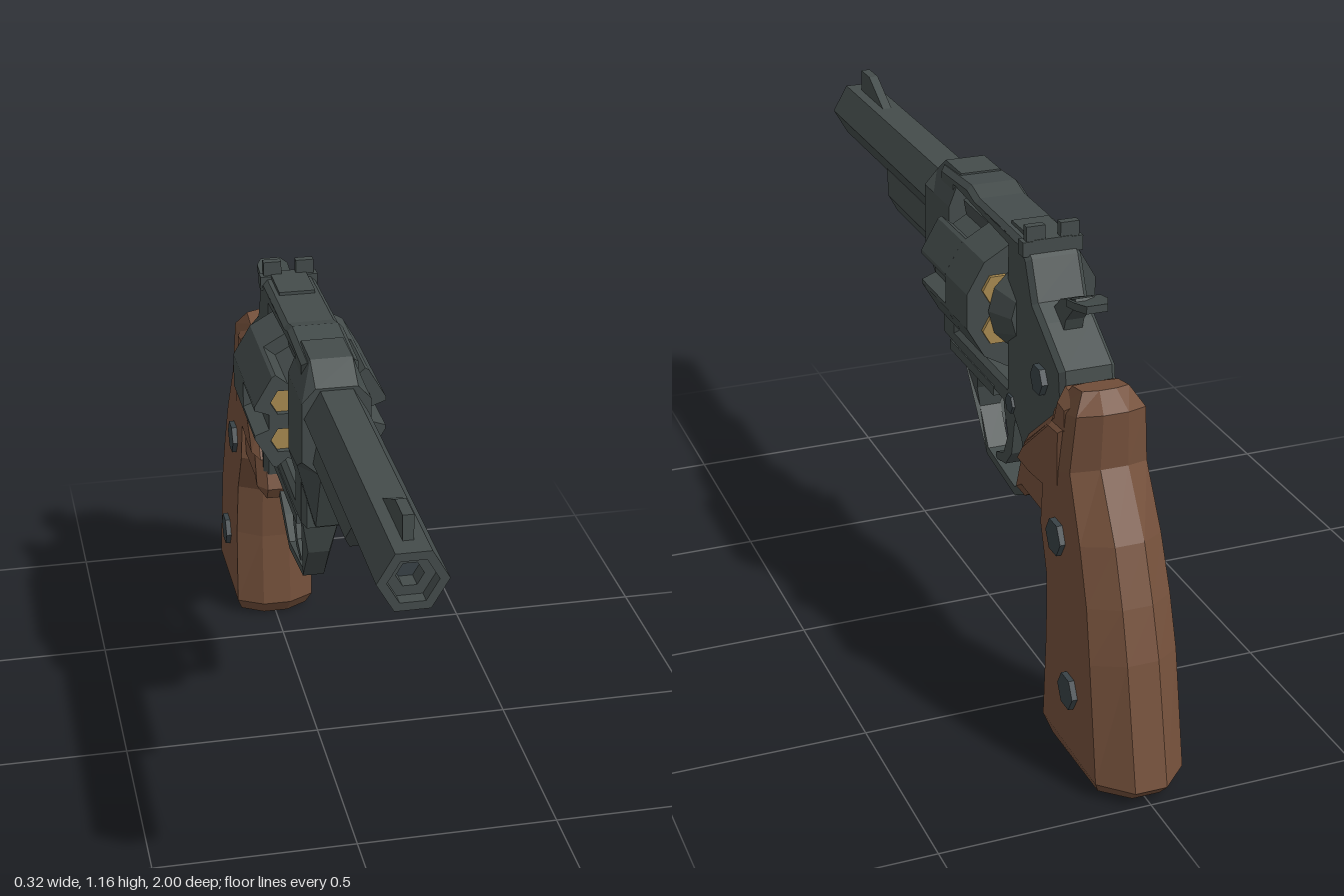
import * as THREE from 'three';

const mat = (name, color) => {
  const m = new THREE.MeshStandardMaterial({ color });
  m.name = name;
  return m;
};

export function createModel() {
  const metal = mat('gunmetal', 0x444c4b);
  const screwMetal = mat('screw steel', 0x394246);
  const wood = mat('walnut', 0x74503b);
  const brass = mat('brass', 0xa88a50);
  const model = new THREE.Group();
  model.name = 'revolver';

  // Add a faceted mesh
  const add = (name, geometry, material = metal) => {
    const g = geometry.index ? geometry.toNonIndexed() : geometry;
    g.computeVertexNormals();
    const mesh = new THREE.Mesh(g, material);
    mesh.name = name;
    model.add(mesh);
    return mesh;
  };
  const toShape = (pts) => new THREE.Shape(pts.map((p) => new THREE.Vector2(p[0], p[1])));
  const ngon = (n, r, start = 0, cx = 0, cy = 0) => Array.from({ length: n }, (_, i) => {
    const a = start + (i * 2 * Math.PI) / n;
    return [cx + r * Math.cos(a), cy + r * Math.sin(a)];
  });

  // Side profile [z, y], extruded across x with chamfered edges
  const profile = (pts, width, bevel = 0, holes = []) => {
    const s = toShape(pts);
    s.holes = holes.map(toShape);
    const g = new THREE.ExtrudeGeometry(s, {
      depth: width - 2 * bevel, bevelEnabled: bevel > 0, bevelThickness: bevel,
      bevelSize: bevel, bevelOffset: -bevel, bevelSegments: 1,
    });
    return g.translate(0, 0, bevel - width / 2).rotateY(-Math.PI / 2);
  };
  // Front profile [x, y], extruded from z0 to z1
  const along = (pts, z0, z1, y = 0, holes = []) => {
    const s = toShape(pts);
    s.holes = holes.map(toShape);
    return new THREE.ExtrudeGeometry(s, { depth: z1 - z0, bevelEnabled: false }).translate(0, y, z0);
  };
  // Skin over matching rings with closed ends
  const loft = (rings) => {
    const n = rings[0].length, index = [];
    rings.slice(1).forEach((_, r) => {
      for (let i = 0; i < n; i++) {
        const a = r * n + i, b = r * n + ((i + 1) % n);
        index.push(a, b, b + n, a, b + n, a + n);
      }
    });
    const top = (rings.length - 1) * n;
    for (let i = 1; i < n - 1; i++) index.push(0, i + 1, i, top, top + i, top + i + 1);
    const g = new THREE.BufferGeometry();
    g.setAttribute('position', new THREE.Float32BufferAttribute(rings.flat(2), 3));
    g.setIndex(index);
    return g;
  };
  const box = (name, w, h, d, x, y, z) => add(name, new THREE.BoxGeometry(w, h, d).translate(x, y, z));

  // Barrel with recessed muzzle
  add('barrel', along(ngon(6, 0.077), 0.2, 1, 1.022, [ngon(6, 0.055)]));
  add('muzzle', along(ngon(6, 0.056), 0.9, 0.97, 1.022, [ngon(6, 0.03)]));
  add('bore', along(ngon(6, 0.031), 0.9, 0.93, 1.022), screwMetal);
  add('frontSight', profile([[0.95, 1.08], [0.945, 1.145], [0.875, 1.145], [0.745, 1.08]], 0.024));

  // Underlug with a slanted nose
  const lug = [[-0.04, 0.87], [0.04, 0.87], [0.056, 0.905], [0.045, 0.965], [-0.045, 0.965], [-0.056, 0.905]];
  add('underlug', loft([
    lug.map(([x, y]) => [x, y, 0.2]),
    lug.map(([x, y]) => [x, y, 0.57 + (y - 0.87) * 0.72]),
  ]));

  // Shroud where the barrel enters the frame
  const shroudRing = (z, b, side, t) => [
    [-0.037, b, z], [0.037, b, z], [0.082, side, z], [0.082, 1.06, z],
    [0.05, t, z], [-0.05, t, z], [-0.082, 1.06, z], [-0.082, side, z],
  ];
  add('shroud', loft([
    shroudRing(0.055, 0.69, 0.86, 1.14),
    shroudRing(0.165, 0.7, 0.87, 1.14),
    shroudRing(0.23, 0.87, 0.91, 1.095),
  ]));

  // Frame with the cylinder window
  add('frame', profile([
    [0.15, 0.69], [0.16, 1.13], [-0.03, 1.14], [-0.085, 1.125], [-0.37, 1.12], [-0.41, 1.09],
    [-0.45, 1.0], [-0.5, 0.97], [-0.61, 0.9], [-0.64, 0.7], [-0.5, 0.56], [-0.39, 0.52],
    [-0.375, 0.63], [-0.32, 0.675],
  ], 0.135, 0.012, [[[0.055, 0.735], [0.055, 1.1], [-0.285, 1.1], [-0.285, 0.735]]]));
  box('lowerRail', 0.14, 0.025, 0.3, 0, 0.685, -0.06);

  // Fluted cylinder
  const cy = 0.925;
  const outline = [];
  const chambers = [];
  for (let k = 0; k < 6; k++) {
    const a = (k * Math.PI) / 3, c = Math.cos(a), s = Math.sin(a);
    for (const [r, t] of [[0.16, -0.043], [0.16, -0.033], [0.125, -0.02], [0.125, 0.02], [0.16, 0.033], [0.16, 0.043]])
      outline.push([r * c - t * s, r * s + t * c]);
    const h = a + Math.PI / 6;
    chambers.push([0.1 * Math.cos(h), 0.1 * Math.sin(h)]);
  }
  add('cylinderFront', along(outline, -0.13, 0.037, cy, chambers.map(([x, y]) => ngon(6, 0.035, 0, x, y))));
  add('cylinderRear', along(ngon(12, 0.1656, Math.PI / 12), -0.275, -0.13, cy));
  add('cylinderAxle', along(ngon(6, 0.03), -0.3, 0.06, cy));
  chambers.forEach(([x, y]) => {
    add('cartridge', along(ngon(6, 0.035, 0, x, y), -0.12, 0.022, cy), brass);
    add('cartridgeRim', along(ngon(6, 0.038, 0, x, y), -0.285, -0.27, cy), brass);
  });

  // Recoil shield behind the cylinder
  add('recoilShield', new THREE.CylinderGeometry(0.112, 0.08, 0.065, 12).rotateX(Math.PI / 2).translate(0, cy, -0.318));

  // Rear sight
  box('rearSightBase', 0.09, 0.03, 0.14, 0, 1.115, -0.33);
  box('rearSightBar', 0.145, 0.035, 0.03, 0, 1.11, -0.385);
  for (const s of [-1, 1]) box('rearSightPost', 0.045, 0.05, 0.02, s * 0.041, 1.138, -0.388);

  // Hammer and its wide thumb spur
  add('hammer', profile([
    [-0.4, 0.93], [-0.41, 1.05], [-0.455, 0.985], [-0.5, 1.025], [-0.58, 1.055],
    [-0.6, 1.04], [-0.58, 1.035], [-0.53, 0.985], [-0.51, 0.93],
  ], 0.045));
  const spur = [[0.02, -0.535, 1.03], [0.04, -0.575, 1.046], [0.04, -0.615, 1.053], [0.025, -0.65, 1.055]];
  const spurRing = [...spur, ...spur.map(([x, z, y]) => [-x, z, y]).reverse()];
  add('hammerSpur', loft([-0.009, 0.009].map((d) => spurRing.map(([x, z, y]) => [x, y + d, z]))));

  // Trigger guard, flaring toward the frame
  const guard = profile([
    [0.05, 0.68], [0.015, 0.545], [-0.055, 0.44], [-0.245, 0.415], [-0.315, 0.45], [-0.4, 0.5],
    [-0.4, 0.53], [-0.31, 0.48], [-0.24, 0.437], [-0.065, 0.46], [-0.008, 0.55], [-0.015, 0.605], [-0.06, 0.68],
  ], 0.054);
  const gp = guard.attributes.position;
  for (let i = 0; i < gp.count; i++) gp.setX(i, gp.getX(i) * (1 + Math.max(0, gp.getY(i) - 0.55) * 7));
  add('triggerGuard', guard);
  add('trigger', profile([
    [-0.145, 0.69], [-0.16, 0.61], [-0.185, 0.55], [-0.157, 0.49], [-0.105, 0.468], [-0.11, 0.452],
    [-0.17, 0.465], [-0.21, 0.51], [-0.228, 0.6], [-0.275, 0.69],
  ], 0.045));

  // Grip: rows of front z, y, back z, y and half-width
  const rows = [
    [-0.62, 0.003, -0.972, 0.01, 0.092], [-0.59, 0.045, -1, 0.04, 0.106],
    [-0.605, 0.255, -0.937, 0.33, 0.104], [-0.597, 0.405, -0.9, 0.45, 0.1],
    [-0.55, 0.515, -0.85, 0.58, 0.097], [-0.56, 0.65, -0.76, 0.725, 0.092],
    [-0.597, 0.81, -0.762, 0.855, 0.082], [-0.64, 0.88, -0.715, 0.893, 0.055],
  ];
  add('grip', loft(rows.map(([fz, fy, bz, by, w]) => {
    const d = fz - bz;
    const at = (x, t) => [x, fy + (by - fy) * t, fz - d * t];
    const half = [[w, 0.09], [w, 0.84], [0.36 * w, 1]];
    return [...half.map(([x, t]) => at(x, t)), ...half.map(([x, t]) => at(-x, t)).reverse(),
      at(-0.36 * w, 0), at(0.36 * w, 0)];
  })), wood);
  add('gripShoulder', profile([
    [-0.37, 0.525], [-0.39, 0.49], [-0.435, 0.518], [-0.56, 0.512], [-0.7, 0.56], [-0.7, 0.86],
    [-0.62, 0.87], [-0.597, 0.81], [-0.425, 0.675],
  ], 0.17, 0.025), wood);
  add('gripThumbRidge', profile([
    [-0.4, 0.6], [-0.44, 0.665], [-0.6, 0.795], [-0.68, 0.8], [-0.68, 0.58], [-0.6, 0.6], [-0.5, 0.59],
  ], 0.188, 0.02), wood);

  // Hex screws on both sides: z, y, radius, half-span
  for (const [z, y, r, x] of [[-0.68, 0.535, 0.043, 0.11], [-0.78, 0.195, 0.043, 0.118],
    [-0.505, 0.84, 0.036, 0.082], [-0.32, 0.7, 0.024, 0.074]]) {
    for (const s of [-1, 1])
      add('screw', new THREE.CylinderGeometry(r, r, 0.03, 6).rotateZ(Math.PI / 2).translate(s * (x - 0.015), y, z), screwMetal);
  }
  return model;
}
